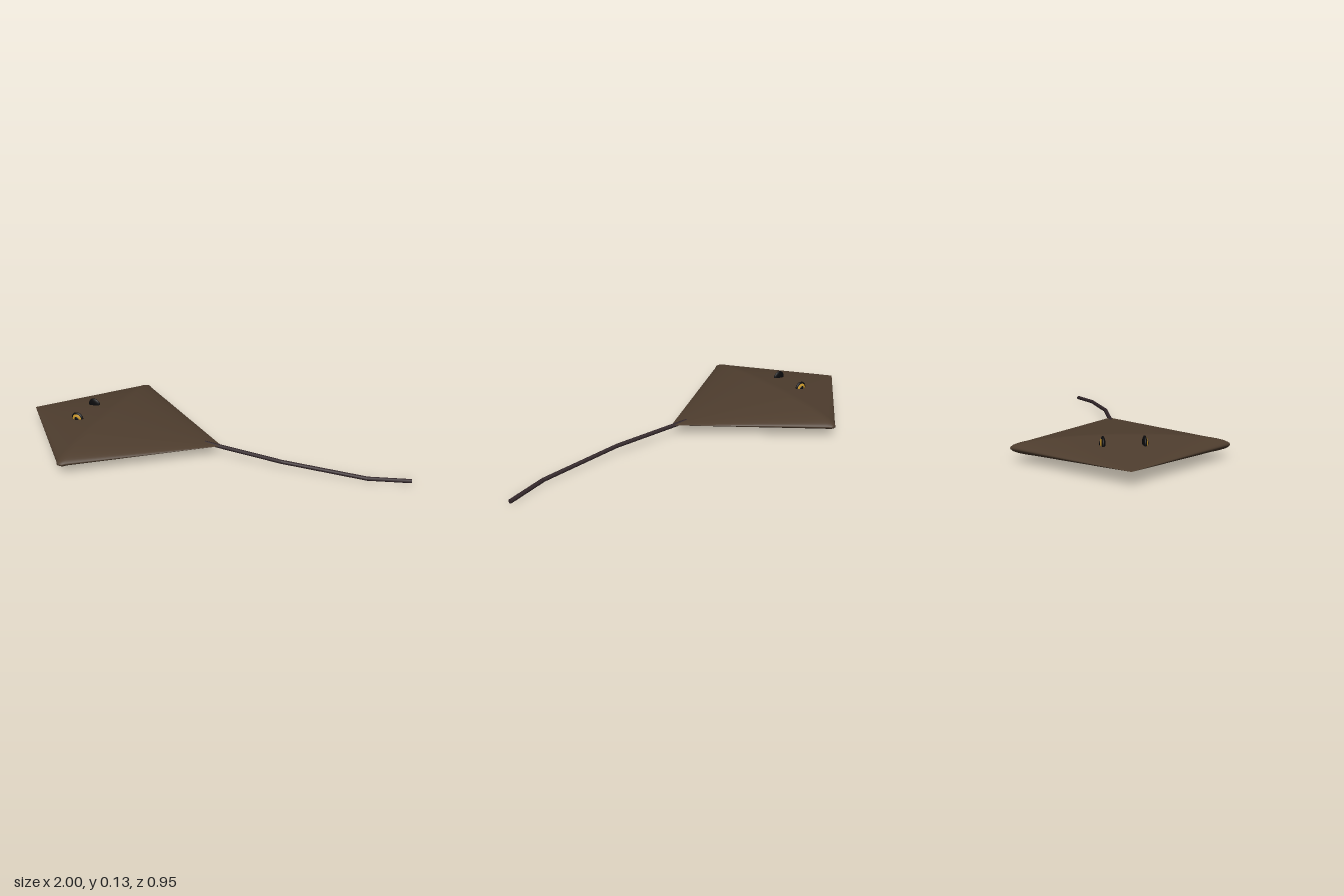
import * as THREE from 'three';

const mat = (name, color) => {
  const m = new THREE.MeshStandardMaterial({ color });
  m.name = name;
  return m;
};

export function createModel() {
  const group = new THREE.Group();
  const skin = mat('brown skin', 0x4e3d2e);
  const tailSkin = mat('dark tail skin', 0x33272a);
  const gold = mat('gold iris', 0xc8962a);
  const black = mat('black eye', 0x0a0a0c);

  const add = (parent, name, geometry, material, x = 0, y = 0, z = 0) => {
    const mesh = new THREE.Mesh(geometry, material);
    mesh.name = name;
    mesh.position.set(x, y, z);
    parent.add(mesh);
    return mesh;
  };

  // Flat diamond body: a double cone along x, squashed to a thin ellipse
  const profile = [[0, -1], [0.965, -0.582], [0.992, -0.574], [1, -0.56],
    [0.992, -0.546], [0.965, -0.536], [0, 0.08]].map(([r, x]) => new THREE.Vector2(r, x));
  const body = new THREE.LatheGeometry(profile, 64);
  body.rotateZ(-Math.PI / 2);
  body.scale(1, 0.053, 0.475);
  add(group, 'body', body, skin, 0, 0.062, 0);

  // Whip tail: straight lengths joined at angles
  const tail = new THREE.Group();
  tail.name = 'tail';
  group.add(tail);
  const points = [[-0.01, 0.061, 0], [0.39, 0.043, 0], [0.8, 0.019, -0.05], [0.994, 0.0115, -0.122]]
    .map(p => new THREE.Vector3(...p));
  const up = new THREE.Vector3(0, 1, 0);
  for (let i = 0; i < points.length - 1; i++) {
    const dir = points[i + 1].clone().sub(points[i]);
    const segment = add(tail, 'tailSegment', new THREE.CylinderGeometry(0.01, 0.01, dir.length(), 12), tailSkin);
    segment.position.copy(points[i]).addScaledVector(dir, 0.5);
    segment.quaternion.setFromUnitVectors(up, dir.normalize());
    if (i > 0) add(tail, 'tailJoint', new THREE.SphereGeometry(0.01, 12, 8), tailSkin, ...points[i].toArray());
  }

  // Eyes: flattened balls with a gold iris and pupil facing outward
  for (const side of [1, -1]) {
    const eye = new THREE.Group();
    eye.name = side > 0 ? 'leftEye' : 'rightEye';
    eye.position.set(-0.685, 0.1, 0.087 * side);
    group.add(eye);
    const ball = (name, r, depth, material, z) => {
      const g = new THREE.SphereGeometry(r, 24, 16);
      g.scale(1, 1, depth / r);
      add(eye, name, g, material, 0, 0, z * side);
    };
    ball('eyeball', 0.034, 0.011, black, 0);
    ball('iris', 0.026, 0.007, gold, 0.006);
    ball('pupil', 0.014, 0.006, black, 0.01);
  }
  return group;
}
